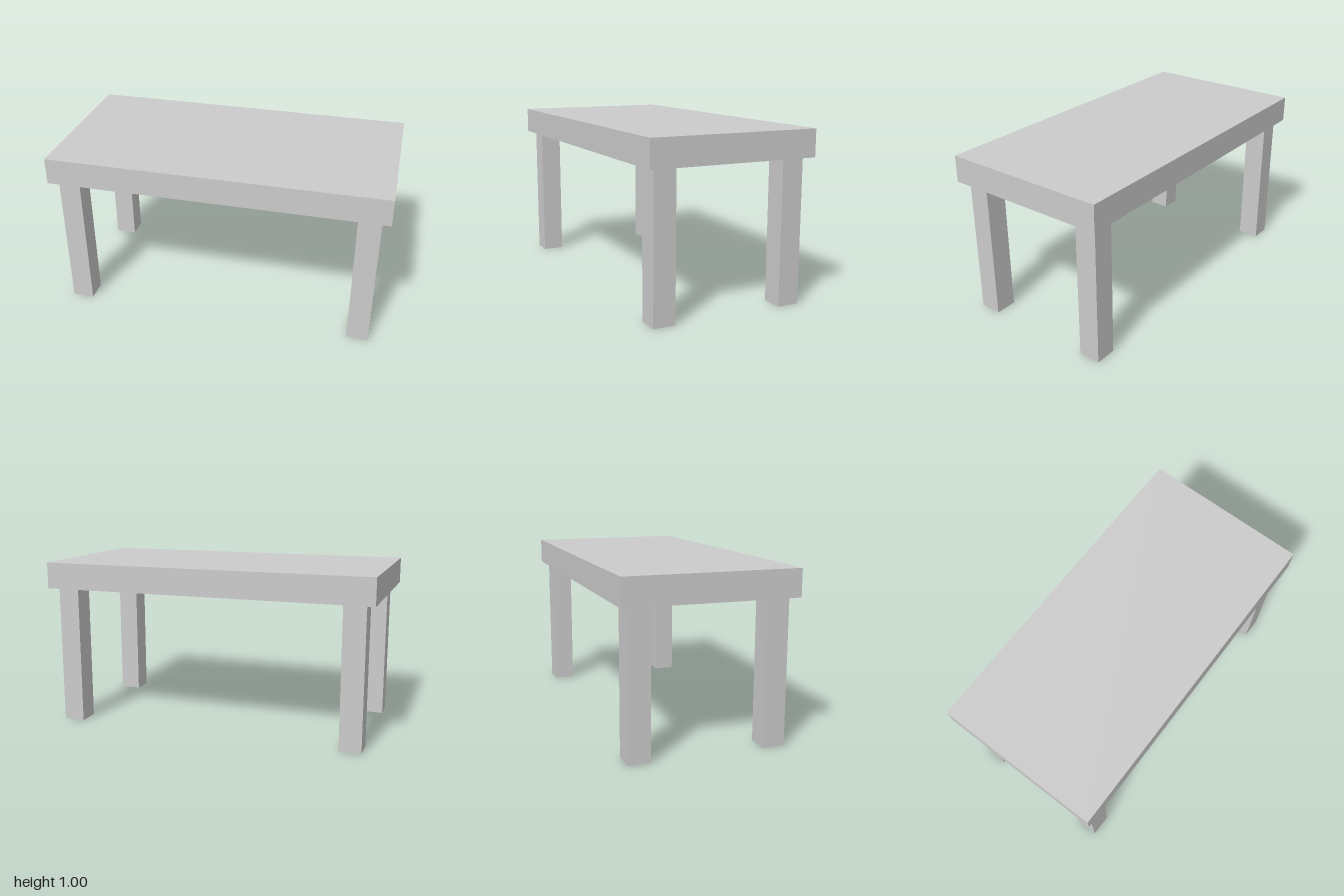
import * as THREE from 'three';

export function createModel() {
  const table = new THREE.Group();
  table.name = 'table';
  const material = new THREE.MeshStandardMaterial({ color: 0xcccccc, flatShading: true });

  const topThickness = 0.158;
  const legHeight = 1 - topThickness;
  const legWidth = 0.13;

  // Thick slab top
  const top = new THREE.Mesh(new THREE.BoxGeometry(2, topThickness, 1), material);
  top.name = 'tableTop';
  top.position.y = 1 - topThickness / 2;
  table.add(top);

  // Four square legs, set in from the corners
  const legGeometry = new THREE.BoxGeometry(legWidth, legHeight, legWidth);
  for (const [xSide, x] of [['Left', 0.883], ['Right', -0.883]]) {
    for (const [zSide, z] of [['front', 0.392], ['back', -0.392]]) {
      const leg = new THREE.Mesh(legGeometry, material);
      leg.name = `${zSide}${xSide}Leg`;
      leg.position.set(x, legHeight / 2, z);
      table.add(leg);
    }
  }

  return table;
}
